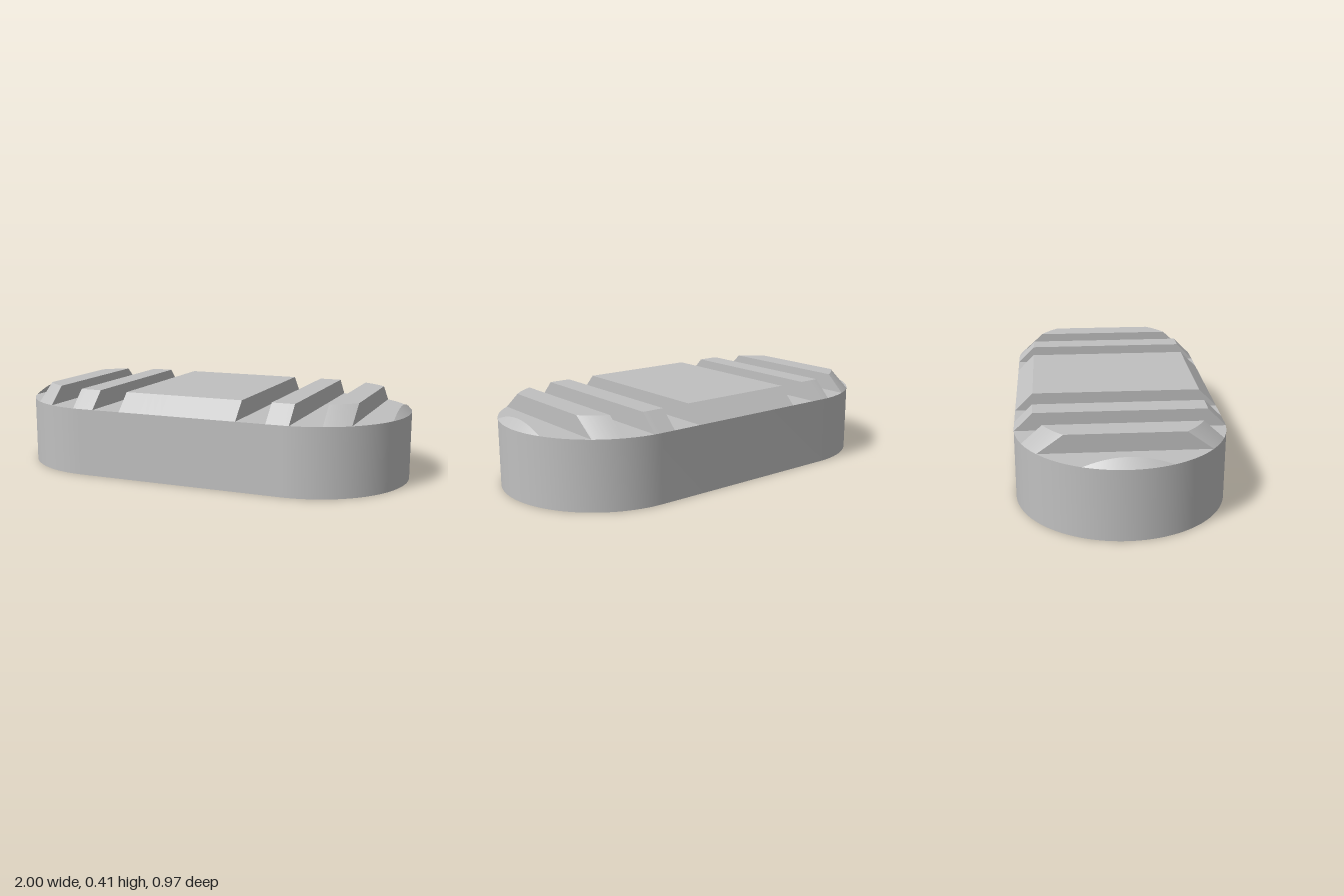
import * as THREE from 'three';
import { toCreasedNormals } from 'three/addons/utils/BufferGeometryUtils.js';

const R = 0.485;        // radius of the rounded ends
const CX = 1 - R;       // centre of each rounded end
const DECK = 0.33;      // height of the groove floor
const BEVEL = 0.085;    // rise and inset of the ridges
const POCKET = 0.235;   // half width of the square recess underneath
const POCKET_TOP = 0.23;

// Half width of the capsule outline of radius r at a given x
const halfWidth = (x, r) => {
  const d = Math.max(0, Math.abs(x) - CX);
  return Math.sqrt(Math.max(0, r * r - d * d));
};

// Joins rows of points into a surface, optionally closing both ends
function loft(rows, caps) {
  const pos = [];
  const quad = (a, b, c, d) => pos.push(...a, ...b, ...c, ...a, ...c, ...d);
  for (let i = 0; i < rows.length - 1; i++) {
    for (let j = 0; j < rows[i].length - 1; j++) {
      quad(rows[i][j], rows[i][j + 1], rows[i + 1][j + 1], rows[i + 1][j]);
    }
  }
  if (caps) {
    quad(...[...rows[0]].reverse());
    quad(...rows[rows.length - 1]);
  }
  const g = new THREE.BufferGeometry();
  g.setAttribute('position', new THREE.Float32BufferAttribute(pos, 3));
  return toCreasedNormals(g, 0.5);
}

// Raised bar across the deck with bevelled ends that follow the outline
function ridgeGeometry(x0, x1) {
  const rows = [];
  const n = 16;
  for (let i = 0; i <= n; i++) {
    const x = x0 + (x1 - x0) * i / n;
    const low = halfWidth(x, R);
    const high = halfWidth(x, R - BEVEL);
    const top = DECK + BEVEL;
    rows.push([[x, DECK, -low], [x, top, -high], [x, top, high], [x, DECK, low]]);
  }
  return loft(rows, true);
}

// Small crescent lip at the tip: conical outside, straight wall inside
function lipGeometry(wallX) {
  const rows = [];
  const d = wallX - CX;
  const limit = Math.acos(d / R);
  const n = 24;
  for (let i = 0; i <= n; i++) {
    const a = limit * (2 * i / n - 1);
    const z = d * Math.tan(a);
    const peak = DECK + R - d / Math.cos(a);
    rows.push([
      [CX + R * Math.cos(a), DECK, R * Math.sin(a)],
      [wallX, peak, z],
      [wallX, DECK, z],
    ]);
  }
  return loft(rows, false);
}

// Capsule-shaped body with a square hole
function bodyGeometry() {
  const s = new THREE.Shape();
  s.moveTo(-CX, -R);
  s.lineTo(CX, -R);
  s.absarc(CX, 0, R, -Math.PI / 2, Math.PI / 2, false);
  s.lineTo(-CX, R);
  s.absarc(-CX, 0, R, Math.PI / 2, Math.PI * 1.5, false);
  const p = POCKET;
  const hole = new THREE.Path();
  hole.moveTo(-p, -p);
  hole.lineTo(-p, p);
  hole.lineTo(p, p);
  hole.lineTo(p, -p);
  hole.closePath();
  s.holes.push(hole);
  const g = new THREE.ExtrudeGeometry(s, { depth: DECK, bevelEnabled: false, curveSegments: 48 });
  g.rotateX(-Math.PI / 2);
  return toCreasedNormals(g, 0.5);
}

export function createModel() {
  const group = new THREE.Group();
  group.name = 'groovedBlock';
  const grey = new THREE.MeshStandardMaterial({ color: 0xc0c0c0 });
  grey.name = 'grey';
  const add = (name, geometry) => {
    const mesh = new THREE.Mesh(geometry, grey);
    mesh.name = name;
    group.add(mesh);
    return mesh;
  };

  add('body', bodyGeometry());

  // Ceiling of the recess underneath
  const h = DECK - POCKET_TOP;
  add('recessCeiling', new THREE.BoxGeometry(POCKET * 2, h, POCKET * 2))
    .position.y = POCKET_TOP + h / 2;

  // Wide middle pad and two ridges on each side
  add('centrePad', ridgeGeometry(-0.3, 0.3));
  for (const [name, a, b] of [['innerRidge', 0.445, 0.555], ['outerRidge', 0.7, 0.815]]) {
    add(name + 'Left', ridgeGeometry(a, b));
    add(name + 'Right', ridgeGeometry(-b, -a));
  }

  // Lips at both tips
  add('endLipLeft', lipGeometry(0.96));
  add('endLipRight', lipGeometry(0.96)).rotation.y = Math.PI;

  return group;
}
